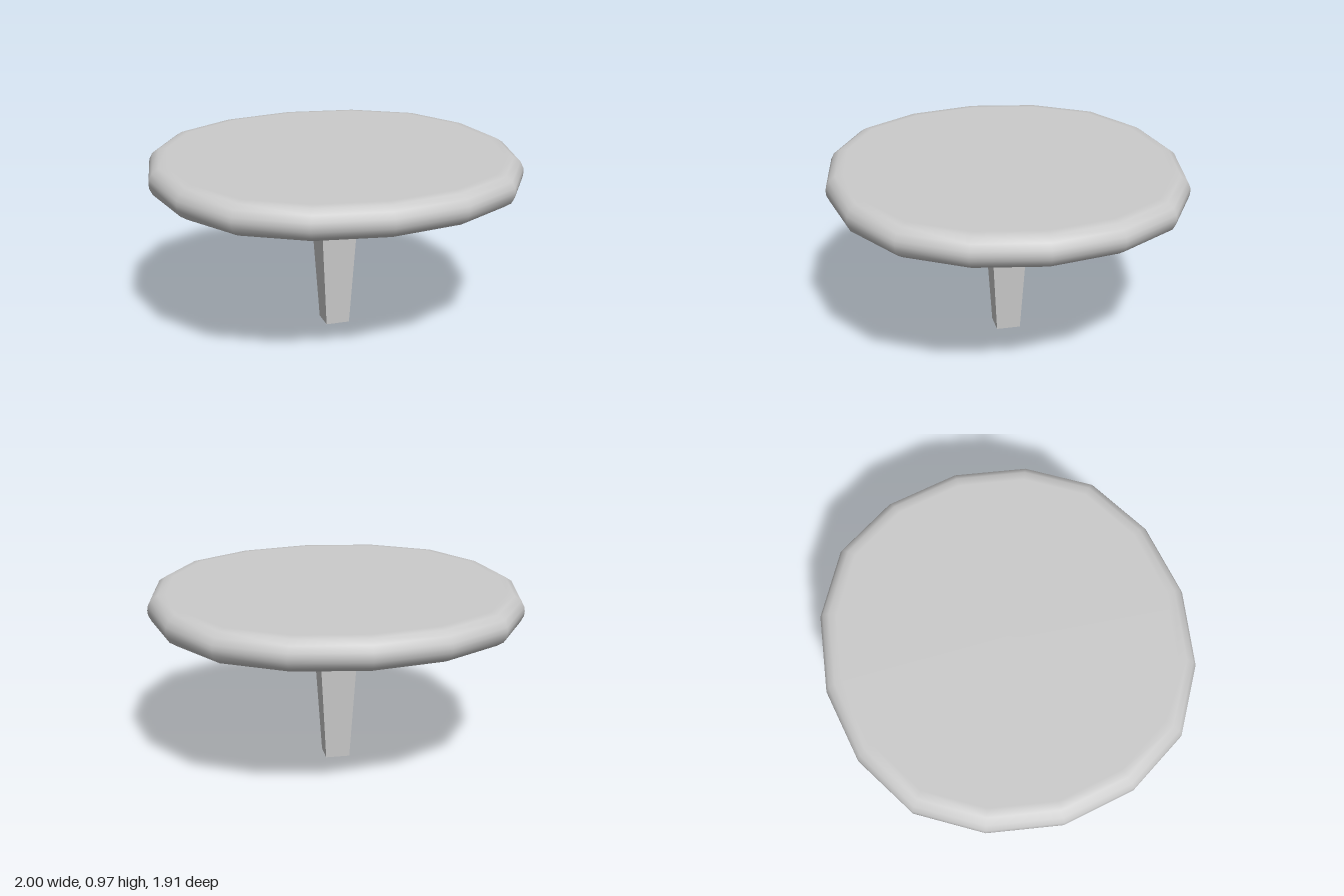
import * as THREE from 'three';
import { mergeVertices } from 'three/addons/utils/BufferGeometryUtils.js';

const SIDES = 16;

// One quarter of the table top's outline (x, z), mirrored to make all 16 corners
const QUARTER = [[0, 0.957], [0.401, 0.891], [0.733, 0.7], [0.93, 0.382], [1, 0]];

function outlineCorner(i) {
  const k = i % SIDES;
  const fold = k % 8 <= 4 ? k % 8 : 8 - (k % 8);
  const [x, z] = QUARTER[fold];
  return [k > 8 ? -x : x, k > 4 && k < 12 ? -z : z];
}

// Softly rounded slab: a lathe whose rings are reshaped to the outline
function createTopGeometry() {
  const profile = [
    [0, 0.797], [0.9, 0.797], [0.945, 0.802], [0.98, 0.825], [0.997, 0.858], [1, 0.883],
    [0.997, 0.907], [0.98, 0.94], [0.945, 0.963], [0.9, 0.968], [0, 0.968],
  ].map(([r, y]) => new THREE.Vector2(r, y));
  const lathe = new THREE.LatheGeometry(profile, SIDES);
  const pos = lathe.attributes.position;
  for (let i = 0; i <= SIDES; i++) {
    const [x, z] = outlineCorner(i);
    profile.forEach((p, j) => pos.setXYZ(i * profile.length + j, p.x * x, p.y, p.x * z));
  }
  // Weld the seam and centres for continuous smooth normals
  lathe.deleteAttribute('uv');
  lathe.deleteAttribute('normal');
  const geometry = mergeVertices(lathe);
  geometry.computeVertexNormals();
  return geometry;
}

export function createModel() {
  const group = new THREE.Group();
  group.name = 'pedestalTable';

  const top = new THREE.Mesh(
    createTopGeometry(),
    new THREE.MeshStandardMaterial({ color: 0xcccccc }),
  );
  top.name = 'tableTop';
  group.add(top);

  // Square leg, narrowing toward the floor
  const legHeight = 0.8;
  const legGeometry = new THREE.CylinderGeometry(
    0.112 * Math.SQRT2, 0.065 * Math.SQRT2, legHeight, 4,
  );
  legGeometry.rotateY(Math.PI / 4);
  legGeometry.translate(0, legHeight / 2, 0);
  const leg = new THREE.Mesh(
    legGeometry,
    new THREE.MeshStandardMaterial({ color: 0xcccccc, flatShading: true }),
  );
  leg.name = 'leg';
  group.add(leg);

  return group;
}
